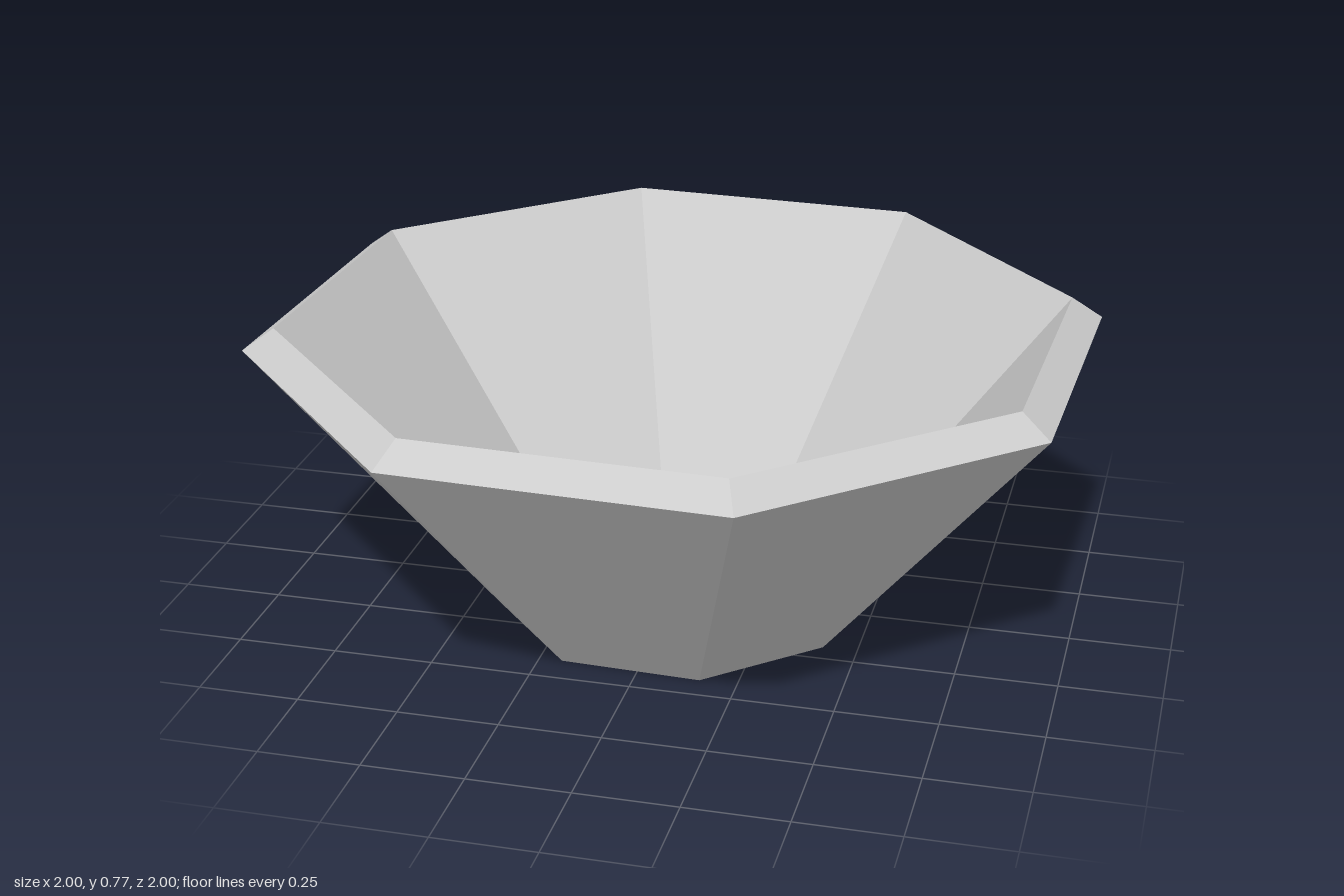
import * as THREE from 'three';

const SIDES = 8;
const TURN = THREE.MathUtils.degToRad(20.05); // slight twist of the octagon

export function createModel() {
  const group = new THREE.Group();
  group.name = 'bowl';
  const stone = new THREE.MeshStandardMaterial({ color: 0xcccccc });
  stone.name = 'pale grey';

  // One faceted ring band per part, from [radius, height] pairs
  const addPart = (name, profile) => {
    const points = profile.map(([r, y]) => new THREE.Vector2(r, y));
    const geometry = new THREE.LatheGeometry(points, SIDES, TURN).toNonIndexed();
    geometry.computeVertexNormals(); // flat facets
    const mesh = new THREE.Mesh(geometry, stone);
    mesh.name = name;
    group.add(mesh);
  };

  addPart('base', [[0, 0], [0.457, 0]]);
  addPart('outerWall', [[0.457, 0], [1.064, 0.72]]);
  addPart('bevelledRim', [[1.064, 0.72], [0.985, 0.775]]);
  addPart('innerWall', [[0.985, 0.775], [0.42, 0.1]]);
  addPart('innerFloor', [[0.42, 0.1], [0, 0.1]]);

  return group;
}
